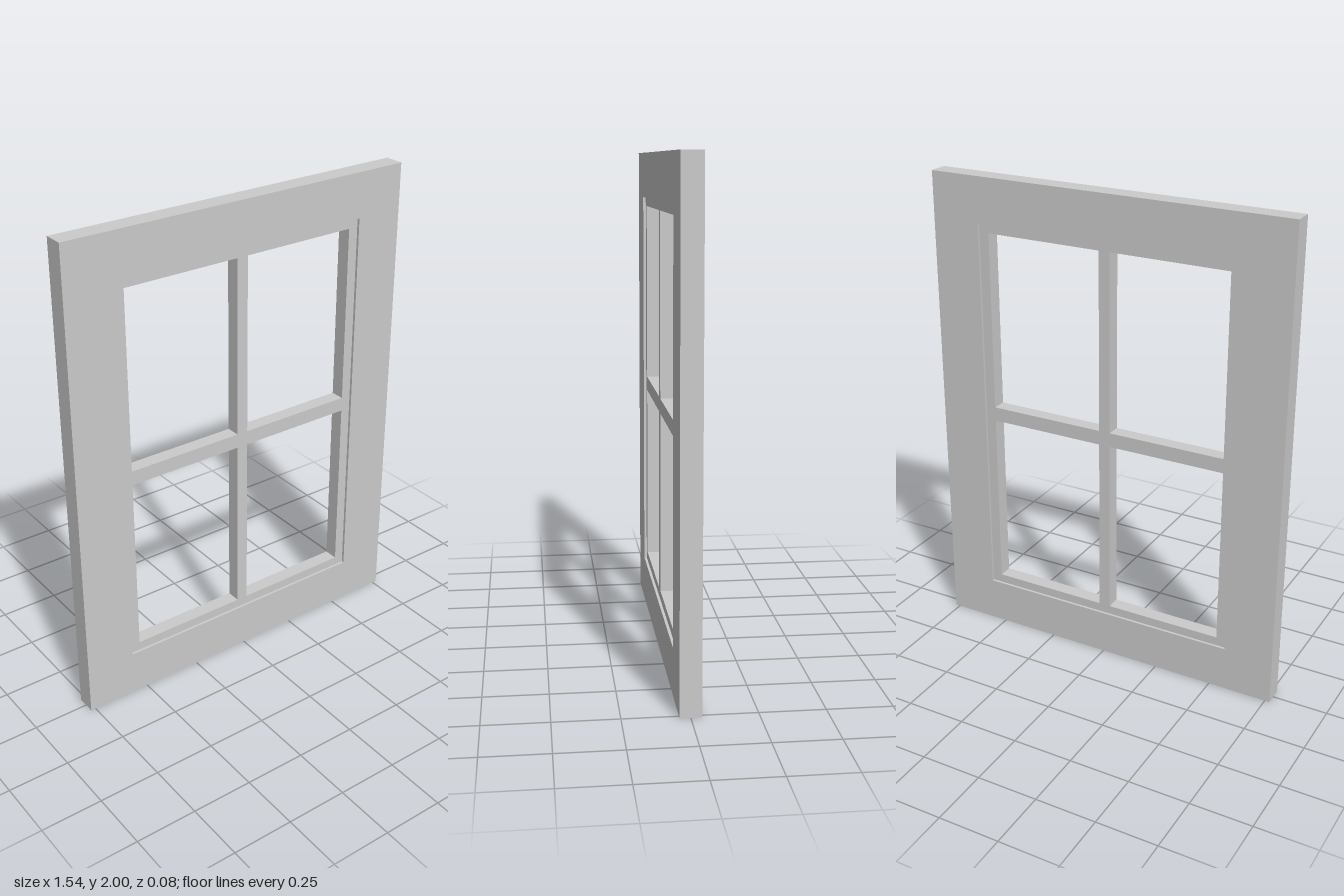
import * as THREE from 'three';

const CENTER_Y = 1;

// Rectangle path from its centre and half sizes
function rect(PathType, cx, cy, hx, hy) {
  return new PathType([
    new THREE.Vector2(cx - hx, cy - hy),
    new THREE.Vector2(cx + hx, cy - hy),
    new THREE.Vector2(cx + hx, cy + hy),
    new THREE.Vector2(cx - hx, cy + hy),
  ]);
}

// Flat panel with rectangular openings, centred on z = 0
function panel(name, hx, hy, depth, holes, material) {
  const shape = rect(THREE.Shape, 0, 0, hx, hy);
  for (const h of holes) shape.holes.push(rect(THREE.Path, ...h));
  const geometry = new THREE.ExtrudeGeometry(shape, { depth, bevelEnabled: false });
  geometry.translate(0, CENTER_Y, -depth / 2);
  const mesh = new THREE.Mesh(geometry, material);
  mesh.name = name;
  return mesh;
}

export function createModel() {
  const group = new THREE.Group();
  group.name = 'window';
  const material = new THREE.MeshStandardMaterial({ color: 0xcccccc });

  // Wide outer frame around one large opening
  const openX = 0.563, openY = 0.812;
  group.add(panel('outerFrame', 0.77, 1, 0.082, [[0, 0, openX, openY]], material));

  // Thinner sash with crossing bars, recessed on both faces
  const sashX = 0.521, sashY = 0.775; // outer limits of the panes
  const barX = 0.024, barY = 0.03; // half widths of the bars
  const panes = [];
  for (const sx of [-1, 1]) {
    for (const sy of [-1, 1]) {
      panes.push([
        sx * (sashX + barX) / 2, sy * (sashY + barY) / 2,
        (sashX - barX) / 2, (sashY - barY) / 2,
      ]);
    }
  }
  group.add(panel('sash', openX, openY, 0.06, panes, material));

  return group;
}
